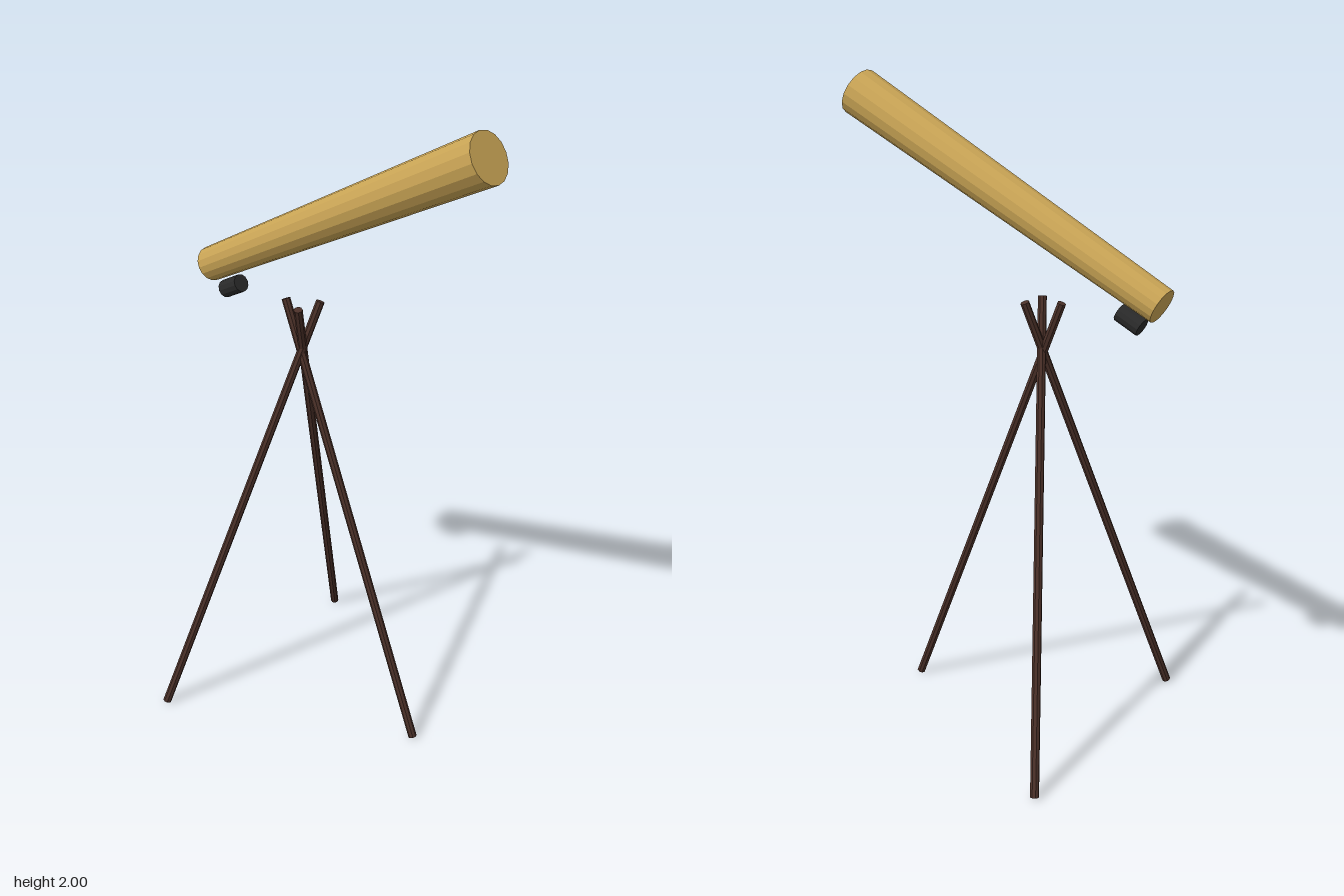
import * as THREE from 'three';

const material = (color) => new THREE.MeshStandardMaterial({ color, flatShading: true });

// Faceted rod between two points; r0 at the start, r1 at the end
function rod(name, start, end, r0, r1, sides, mat) {
  const a = new THREE.Vector3(...start);
  const b = new THREE.Vector3(...end);
  const dir = b.clone().sub(a);
  const mesh = new THREE.Mesh(new THREE.CylinderGeometry(r1, r0, dir.length(), sides), mat);
  mesh.position.copy(a).add(b).multiplyScalar(0.5);
  mesh.quaternion.setFromUnitVectors(new THREE.Vector3(0, 1, 0), dir.normalize());
  mesh.name = name;
  return mesh;
}

export function createModel() {
  const model = new THREE.Group();
  model.name = 'telescope';
  const brass = material(0xc9a455);
  const wood = material(0x4a3028);
  const black = material(0x2a2a2a);

  // Tapered tube, wide end forward and raised
  model.add(rod('tube', [-0.006, 1.407, -0.526], [-0.006, 1.934, 0.516], 0.054, 0.074, 16, brass));

  // Eyepiece slung under the narrow end, parallel to the tube
  model.add(rod('eyepiece', [-0.006, 1.338, -0.466], [-0.006, 1.374, -0.395], 0.028, 0.028, 12, black));

  // Tripod legs crossing near the top
  const legs = [
    ['frontLeg', [-0.016, 0.006, 0.334], [-0.006, 1.372, -0.205]],
    ['leftLeg', [0.412, 0.006, -0.38], [-0.053, 1.372, -0.111]],
    ['rightLeg', [-0.412, 0.006, -0.398], [0.043, 1.372, -0.109]],
  ];
  for (const [name, foot, top] of legs) model.add(rod(name, foot, top, 0.0135, 0.0135, 8, wood));

  return model;
}
